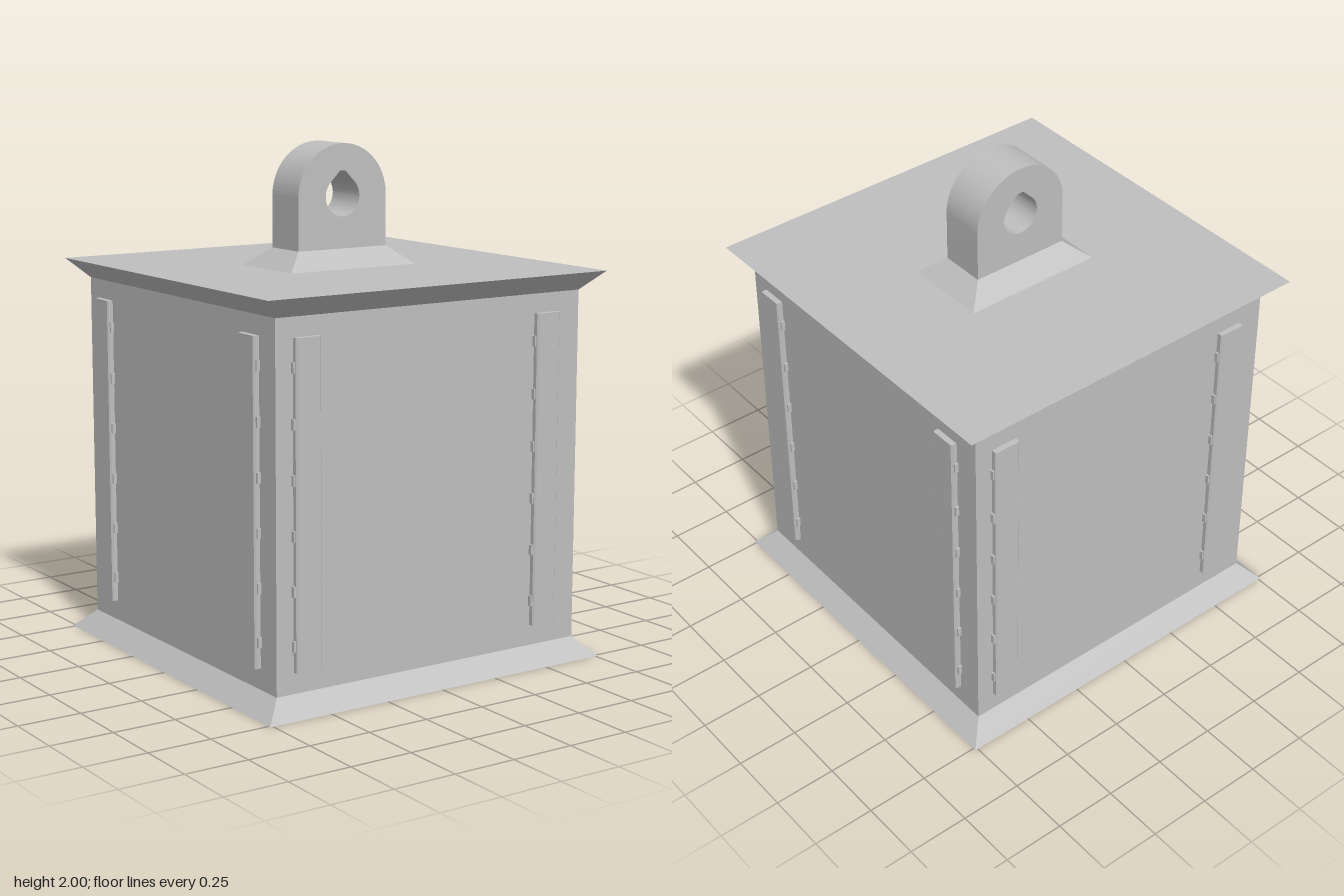
import * as THREE from 'three';
import { toCreasedNormals } from 'three/addons/utils/BufferGeometryUtils.js';

const metal = new THREE.MeshStandardMaterial({ color: 0xbfbfbf });
metal.name = 'plain grey';

function mesh(name, geometry) {
  const m = new THREE.Mesh(geometry, metal);
  m.name = name;
  return m;
}

// Four-sided block that tapers from a bottom half-width to a top half-width
function frustum(name, bottomX, bottomZ, topX, topZ, y0, y1) {
  const g = new THREE.BoxGeometry(2, y1 - y0, 2);
  const p = g.attributes.position;
  for (let i = 0; i < p.count; i++) {
    const top = p.getY(i) > 0;
    p.setX(i, p.getX(i) * (top ? topX : bottomX));
    p.setZ(i, p.getZ(i) * (top ? topZ : bottomZ));
  }
  g.translate(0, (y0 + y1) / 2, 0);
  g.computeVertexNormals();
  return mesh(name, g);
}

// Arched hanging lug with a teardrop hole, flattened at its tip
function hangingLug() {
  const r = 0.203, cy = 1.797, holeR = 0.078, tip = 0.098;
  const shape = new THREE.Shape();
  shape.moveTo(-r, 1.595);
  shape.lineTo(r, 1.595);
  shape.lineTo(r, cy);
  shape.absarc(0, cy, r, 0, Math.PI, false);
  shape.closePath();
  const hole = new THREE.Path();
  const flat = holeR * Math.SQRT2 - tip;
  hole.absarc(0, cy, holeR, Math.PI / 4, Math.PI * 0.75, true);
  hole.lineTo(-flat, cy + tip);
  hole.lineTo(flat, cy + tip);
  hole.closePath();
  shape.holes.push(hole);
  const g = new THREE.ExtrudeGeometry(shape, { depth: 0.184, bevelEnabled: false, curveSegments: 40 });
  g.translate(0, 0, -0.092);
  return mesh('hangingLug', toCreasedNormals(g, 0.6));
}

// Raised strip with chamfered long edges, backed by a row of small clips
function strip(x) {
  const group = new THREE.Group();
  group.name = 'sideStrip';
  const half = 0.054, c = 0.006, back = 0.68, front = 0.71;
  const s = new THREE.Shape();
  s.moveTo(-half, -back);
  s.lineTo(-half, -front + c);
  s.lineTo(-half + c, -front);
  s.lineTo(half - c, -front);
  s.lineTo(half, -front + c);
  s.lineTo(half, -back);
  s.closePath();
  const bar = new THREE.ExtrudeGeometry(s, { depth: 1.22, bevelEnabled: false });
  bar.rotateX(-Math.PI / 2);
  bar.translate(x, 0.156, 0);
  group.add(mesh('stripBar', bar));
  for (let i = 0; i < 6; i++) {
    const clip = mesh('stripClip', new THREE.BoxGeometry(0.124, 0.04, 0.022));
    clip.position.set(x, 0.255 + i * 0.203, 0.691);
    group.add(clip);
  }
  return group;
}

export function createModel() {
  const model = new THREE.Group();
  model.name = 'hangingBox';
  const w = 0.687, f = 0.762;

  // Box with flared rims at bottom and top
  model.add(frustum('baseRim', f, f, w, w, 0, 0.075));
  model.add(frustum('body', w, w, w, w, 0.075, 1.45));
  model.add(frustum('topRim', w, w, f, f, 1.45, 1.525));

  // Lug on its sloped foot
  model.add(frustum('lugFoot', 0.288, 0.172, 0.203, 0.092, 1.525, 1.595));
  model.add(hangingLug());

  // Two strips on each of the four walls
  for (let i = 0; i < 4; i++) {
    const wall = new THREE.Group();
    wall.name = 'wallStrips';
    wall.add(strip(-0.56), strip(0.526));
    wall.rotation.y = i * Math.PI / 2;
    model.add(wall);
  }
  return model;
}
